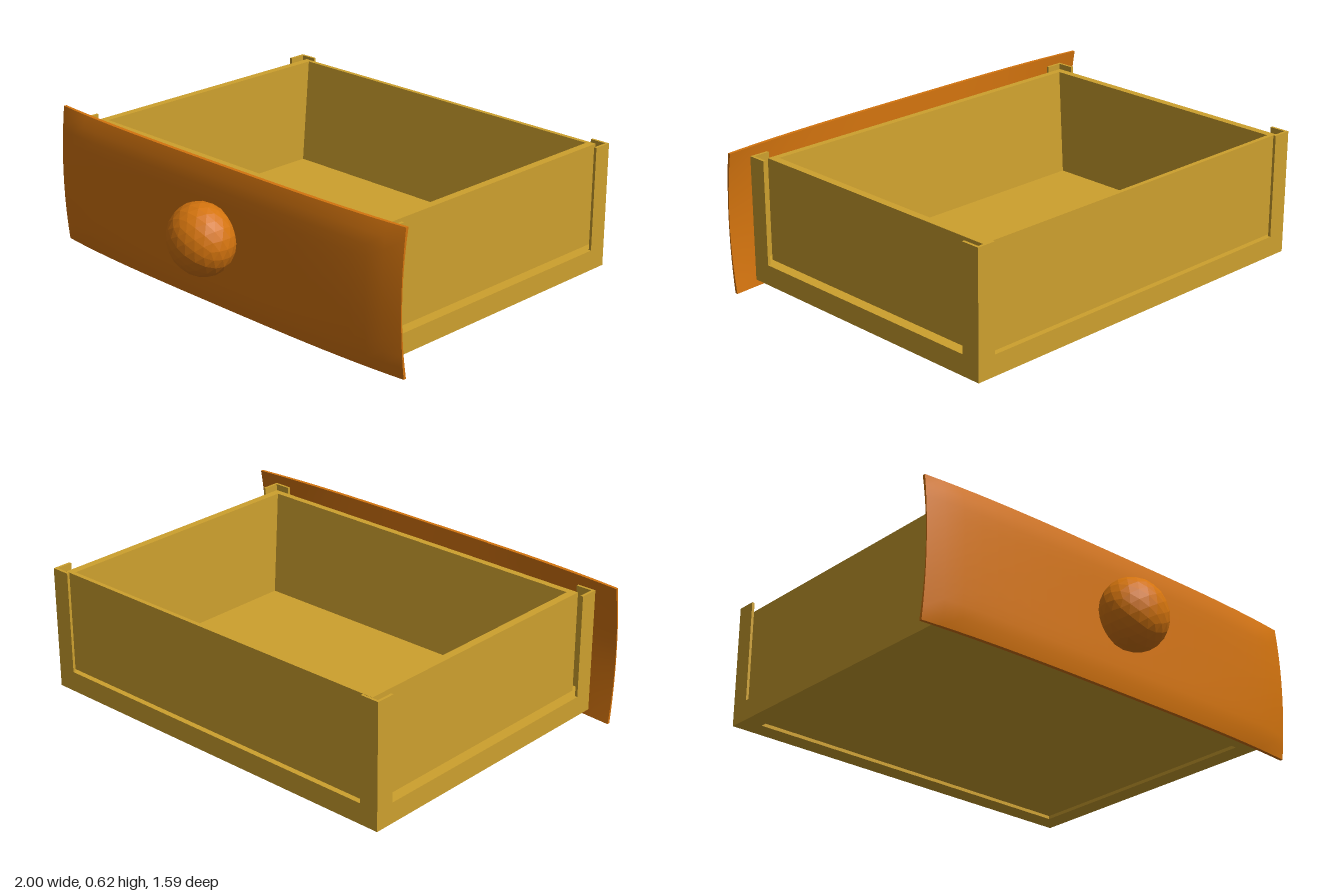
import * as THREE from 'three';

const wood = new THREE.MeshStandardMaterial({ color: 0xcda02e });
wood.name = 'paleWood';
const orange = new THREE.MeshStandardMaterial({ color: 0xd4740e });
orange.name = 'orangeWood';

function add(parent, name, geometry, material, x = 0, y = 0, z = 0) {
  const mesh = new THREE.Mesh(geometry, material);
  mesh.name = name;
  mesh.position.set(x, y, z);
  parent.add(mesh);
  return mesh;
}

// Joins rectangular rings [halfWidth, zBack, zFront, y] and closes both ends.
function rectLoft(rings) {
  const pos = [];
  const index = [];
  rings.forEach(([w, z0, z1, y]) => pos.push(-w, y, z1, w, y, z1, w, y, z0, -w, y, z0));
  for (let i = 0; i < rings.length - 1; i++) {
    for (let j = 0; j < 4; j++) {
      const a = i * 4 + j, b = i * 4 + (j + 1) % 4;
      index.push(a, b, b + 4, a, b + 4, a + 4);
    }
  }
  const n = (rings.length - 1) * 4;
  index.push(0, 2, 1, 0, 3, 2, n, n + 1, n + 2, n, n + 2, n + 3);
  const indexed = new THREE.BufferGeometry();
  indexed.setAttribute('position', new THREE.Float32BufferAttribute(pos, 3));
  indexed.setIndex(index);
  const geometry = indexed.toNonIndexed();
  geometry.computeVertexNormals();
  return geometry;
}

// Wide front board: bulged face, hollow back, corners swept backwards.
function frontBoardGeometry() {
  const geometry = new THREE.BoxGeometry(2, 0.615, 1, 24, 12, 1);
  const p = geometry.attributes.position;
  for (let i = 0; i < p.count; i++) {
    const u = Math.abs(p.getX(i));
    const v = Math.abs(p.getY(i)) / 0.3075;
    const corner = u ** 3 * v ** 2;
    const back = 0.568 - 0.028 * corner;
    const rim = Math.max(u ** 16, v ** 8);
    const front = 0.6 - 0.012 * u ** 4 - 0.02 * corner - 0.015 * rim;
    p.setZ(i, p.getZ(i) > 0 ? Math.max(front, back + 0.004) : back);
  }
  geometry.computeVertexNormals();
  return geometry;
}

export function createModel() {
  const group = new THREE.Group();
  group.name = 'drawer';
  const zBack = -0.795, zFront = 0.54;

  // Open tray: recessed underside, base rail, thin walls and sloping inside ends
  add(group, 'tray', rectLoft([
    [0.815, -0.71, 0.455, 0.05],
    [0.815, -0.71, 0.455, 0.035],
    [0.9, zBack, zFront, 0.035],
    [0.9, zBack, zFront, 0.125],
    [0.85, -0.77, 0.49, 0.125],
    [0.85, -0.77, 0.49, 0.572],
    [0.815, -0.75, 0.46, 0.572],
    [0.81, -0.705, 0.425, 0.1],
  ]), wood);

  // Angle-shaped corner posts standing on the base rail
  const t = 0.012, w = 0.085, h = 0.455;
  for (const sx of [-1, 1]) {
    for (const [z, sz] of [[zBack, -1], [zFront, 1]]) {
      const post = new THREE.Group();
      post.name = 'cornerPost';
      post.position.set(sx * 0.9, 0.125 + h / 2, z);
      add(post, 'postSide', new THREE.BoxGeometry(t, h, w), wood, -sx * t / 2, 0, -sz * w / 2);
      add(post, 'postEnd', new THREE.BoxGeometry(w - t, h, t), wood, -sx * (w + t) / 2, 0, -sz * t / 2);
      group.add(post);
    }
  }

  // Front board and faceted round knob
  add(group, 'frontBoard', frontBoardGeometry(), orange, 0, 0.3075, 0);
  const knob = new THREE.IcosahedronGeometry(1, 3);
  knob.scale(0.157, 0.155, 0.13);
  knob.computeVertexNormals();
  add(group, 'knob', knob, orange, 0, 0.315, 0.665);

  return group;
}
